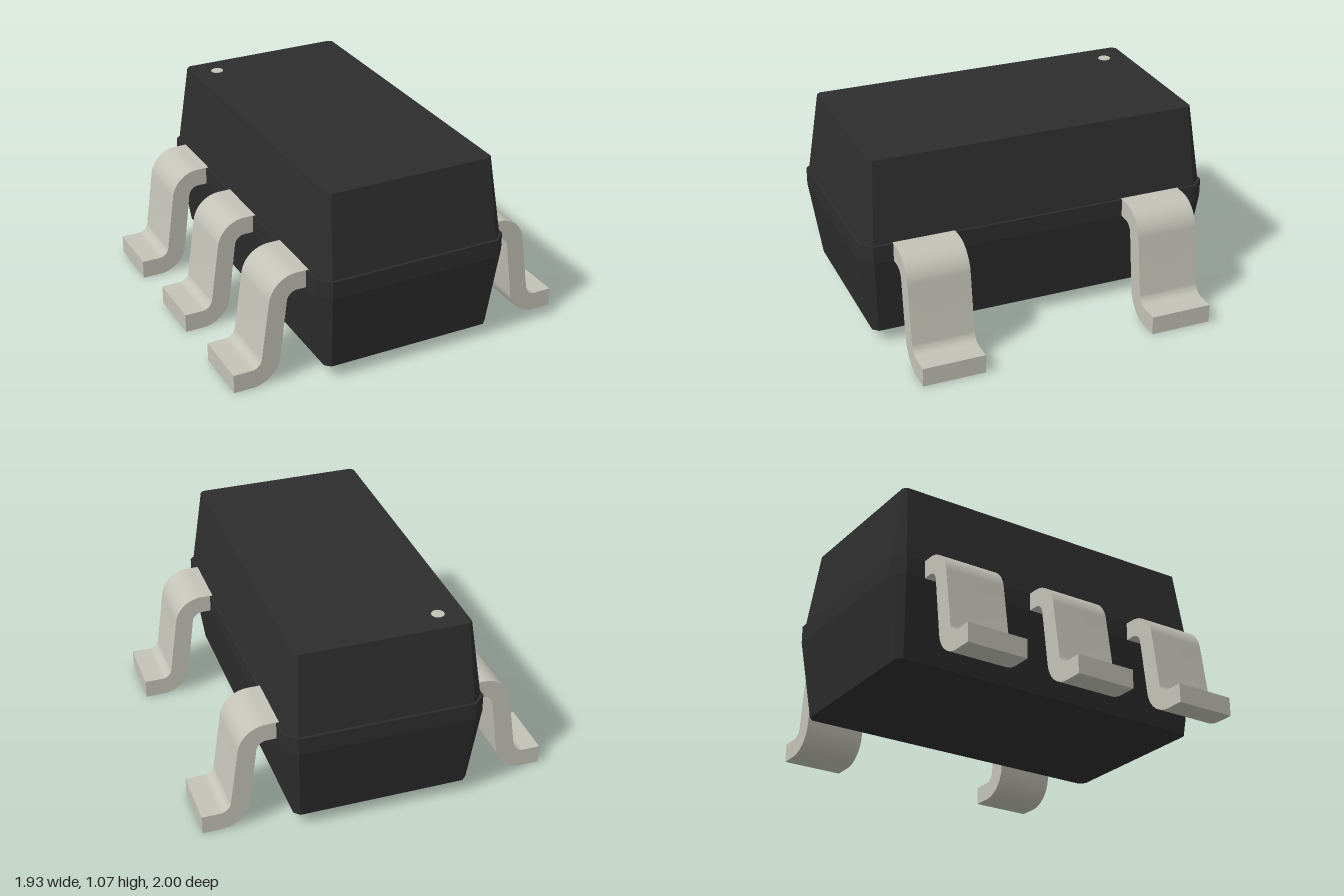
import * as THREE from 'three';
import { toCreasedNormals } from 'three/addons/utils/BufferGeometryUtils.js';

// Chamfered rectangle at height y, counter-clockwise seen from above
function ring([y, hx, hz, c]) {
  return [
    [hx, hz - c], [hx, c - hz], [hx - c, -hz], [c - hx, -hz],
    [-hx, c - hz], [-hx, hz - c], [c - hx, hz], [hx - c, hz],
  ].map(([x, z]) => [x, y, z]);
}

// Loft the rings from bottom to top and cap both ends
function loftBody(sections) {
  const rings = sections.map(ring);
  const pos = [];
  const tri = (a, b, c) => pos.push(...a, ...b, ...c);
  for (let i = 0; i < rings.length - 1; i++) {
    const lo = rings[i], hi = rings[i + 1];
    for (let j = 0; j < 8; j++) {
      const k = (j + 1) % 8;
      tri(lo[j], lo[k], hi[k]);
      tri(lo[j], hi[k], hi[j]);
    }
  }
  const bottom = rings[0], top = rings[rings.length - 1];
  for (let j = 1; j < 7; j++) {
    tri(top[0], top[j], top[j + 1]);
    tri(bottom[0], bottom[j + 1], bottom[j]);
  }
  const geo = new THREE.BufferGeometry();
  geo.setAttribute('position', new THREE.Float32BufferAttribute(pos, 3));
  geo.computeVertexNormals();
  return geo;
}

// Gull-wing lead: S-shaped side profile extruded across its width
function leadGeometry(width) {
  const lean = THREE.MathUtils.degToRad(8.5);
  const up = Math.PI / 2;
  const s = new THREE.Shape();
  s.moveTo(0.535, 0.52);
  s.lineTo(0.535, 0.62);
  s.absarc(0.6, 0.46, 0.16, up, lean, true);
  s.absarc(0.865, 0.165, 0.06, Math.PI + lean, 3 * up, false);
  s.lineTo(0.965, 0.105);
  s.lineTo(0.965, 0);
  s.absarc(0.865, 0.165, 0.165, 3 * up, Math.PI + lean, true);
  s.absarc(0.6, 0.46, 0.06, lean, up, false);
  s.closePath();
  const geo = new THREE.ExtrudeGeometry(s, { depth: width, bevelEnabled: false, curveSegments: 12 });
  geo.translate(0, 0, -width / 2);
  return toCreasedNormals(geo, 0.5);
}

export function createModel() {
  const plastic = new THREE.MeshStandardMaterial({ color: 0x2e2e2e });
  plastic.name = 'black plastic';
  const metal = new THREE.MeshStandardMaterial({ color: 0xc3c2b7 });
  metal.name = 'tinned metal';

  const model = new THREE.Group();
  model.name = 'chipPackage';
  const add = (name, geo, mat) => {
    const mesh = new THREE.Mesh(geo, mat);
    mesh.name = name;
    model.add(mesh);
    return mesh;
  };

  // Moulded body: y, half width, half length, corner chamfer
  add('body', loftBody([
    [0.075, 0.49, 0.935, 0.03],
    [0.52, 0.55, 1.0, 0.065],
    [0.618, 0.55, 1.0, 0.065],
    [0.618, 0.535, 0.985, 0.055],
    [1.07, 0.475, 0.92, 0.02],
  ]), plastic);

  // Two leads on the left, three on the right
  const lead = leadGeometry(0.345);
  for (const z of [-0.655, 0.655]) add('leftLead', lead, metal).position.z = z;
  for (const z of [-0.655, 0, 0.655]) {
    const mesh = add('rightLead', lead, metal);
    mesh.rotation.y = Math.PI;
    mesh.position.z = z;
  }

  // Marker dot on the top face
  add('markerDot', new THREE.CylinderGeometry(0.035, 0.035, 0.006, 16), metal)
    .position.set(-0.335, 1.07, -0.785);

  return model;
}
